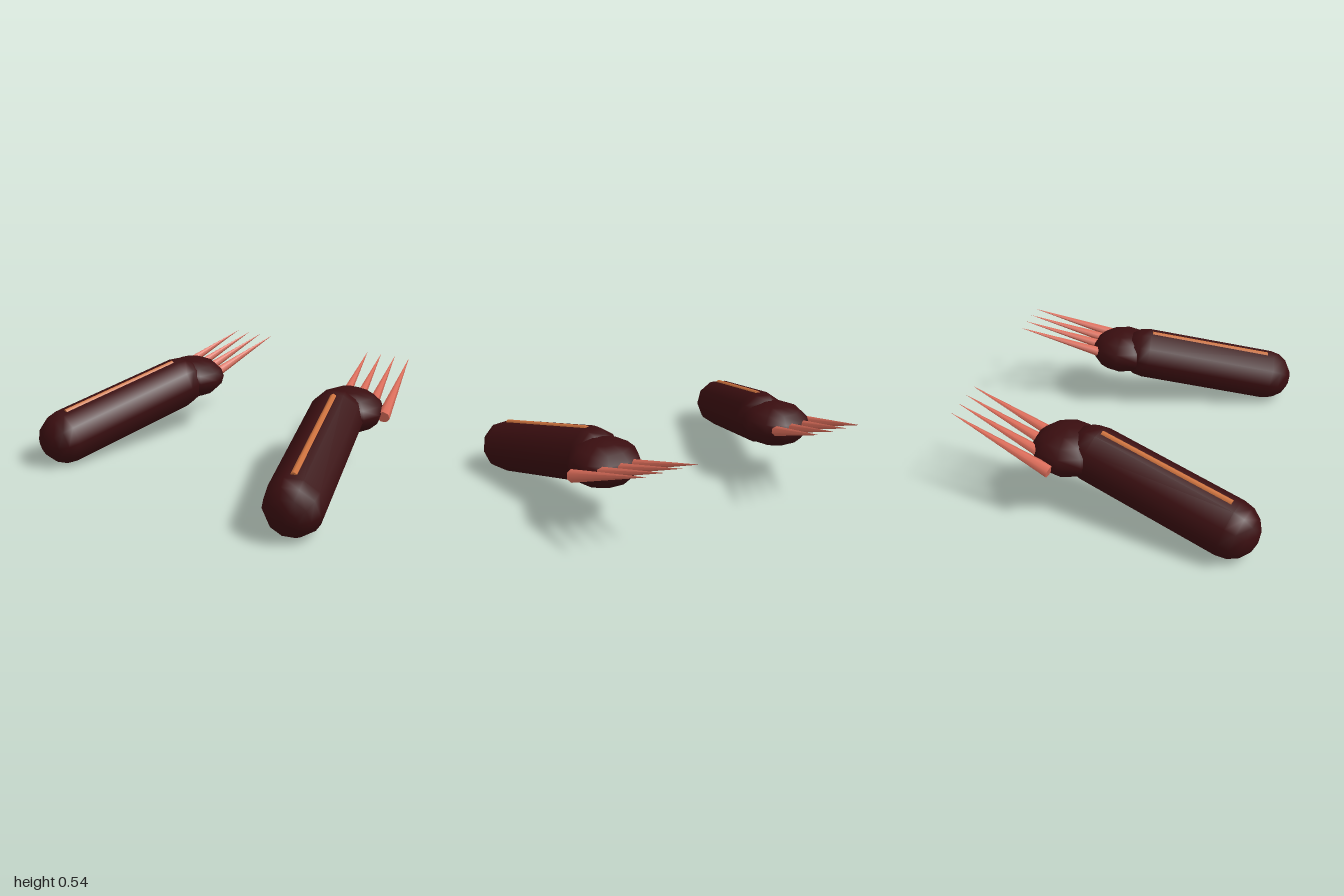
import * as THREE from 'three';

const hide = new THREE.MeshStandardMaterial({ color: 0x3a0e10 });
hide.name = 'dark hide';
const stripeMat = new THREE.MeshStandardMaterial({ color: 0xd0743f });
stripeMat.name = 'orange stripe';
const clawMat = new THREE.MeshStandardMaterial({ color: 0xdc6d5a });
clawMat.name = 'coral claw';

// Lays a mesh whose length runs along local y between two points, local z facing up
function between(mesh, a, b) {
  const y = b.clone().sub(a).normalize();
  const x = y.clone().cross(new THREE.Vector3(0, 1, 0)).normalize();
  const z = x.clone().cross(y);
  mesh.quaternion.setFromRotationMatrix(new THREE.Matrix4().makeBasis(x, y, z));
  mesh.position.copy(a).add(b).multiplyScalar(0.5);
  return mesh;
}

function createArm(side) {
  const arm = new THREE.Group();
  arm.name = side > 0 ? 'leftArm' : 'rightArm';
  const p = (x, y, z) => new THREE.Vector3(side * x, y, z);
  const add = (name, geometry, material) => {
    const mesh = new THREE.Mesh(geometry, material);
    mesh.name = name;
    arm.add(mesh);
    return mesh;
  };

  // Forearm: capsule rising towards the hand
  const elbow = p(0.832, 0.162, 0.73), wrist = p(0.605, 0.344, -0.08);
  between(add('forearm', new THREE.CapsuleGeometry(0.168, elbow.distanceTo(wrist), 4, 10), hide), elbow, wrist);

  // Glowing strip along the top of the forearm
  const s0 = p(0.823, 0.322, 0.73), s1 = p(0.612, 0.491, -0.035);
  between(add('forearmStripe', new THREE.CylinderGeometry(0.019, 0.019, s0.distanceTo(s1), 6), stripeMat), s0, s1);

  // Flattened palm
  const palm = add('palm', new THREE.SphereGeometry(0.216, 10, 8), hide);
  palm.scale.y = 0.625;
  palm.position.copy(p(0.605, 0.355, -0.235));

  // Four parallel claws
  for (let i = 0; i < 4; i++) {
    const root = p(0.52 + i * 0.1, 0.335, -0.28), tip = p(0.39 + i * 0.1, 0.54, -0.9);
    between(add('claw' + (i + 1), new THREE.ConeGeometry(0.039, root.distanceTo(tip), 7), clawMat), root, tip);
  }
  return arm;
}

export function createModel() {
  const model = new THREE.Group();
  model.name = 'clawedArms';
  for (const side of [1, -1]) model.add(createArm(side));
  return model;
}
